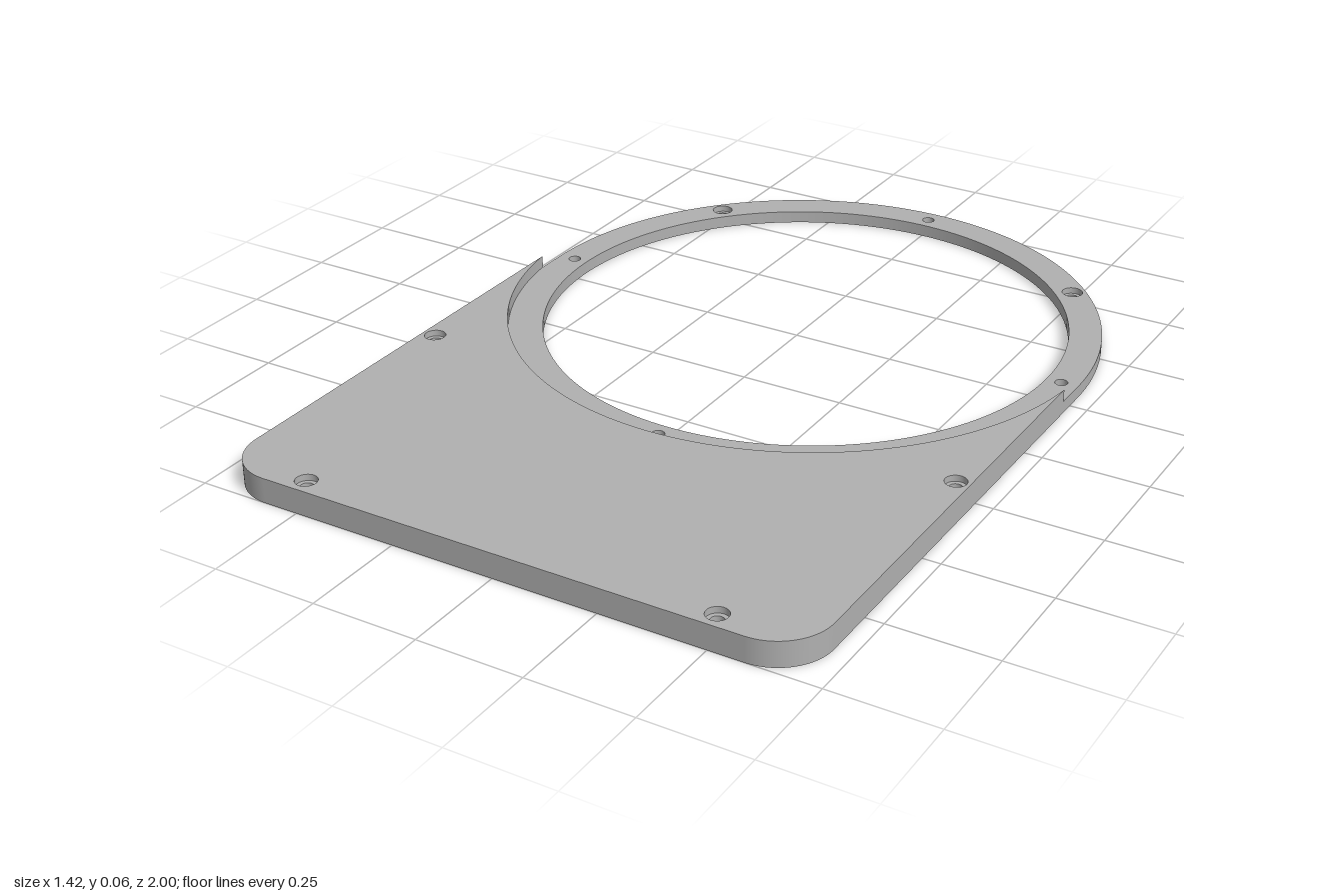
import * as THREE from 'three';

// Plan outlines use (x, -z); heights are given in y.
const HALF = 0.708, CY = 0.292, BORE = 0.63, CORNER = 0.125;
const LEDGE = 0.03, DECK = 0.06, END = 0.21;
const STEP_R = Math.hypot(HALF, CY - END), STEP_A = Math.atan2(CY - END, HALF);
const HOLE = 0.015, HEAD = 0.025, HEAD_DEPTH = 0.015;

const steel = new THREE.MeshStandardMaterial({ color: 0xb0b0b0 });
steel.name = 'grey metal';

function circle(x, y, r) {
  const p = new THREE.Path();
  p.absarc(x, y, r, 0, Math.PI * 2, true);
  return p;
}

// Left side, rounded front corners and right side, from y = top to y = top
function foot(top) {
  const s = new THREE.Shape(), c = HALF - CORNER, b = CORNER - 1;
  s.moveTo(-HALF, top);
  s.lineTo(-HALF, b);
  s.absarc(-c, b, CORNER, Math.PI, Math.PI * 1.5);
  s.lineTo(c, -1);
  s.absarc(c, b, CORNER, Math.PI * 1.5, Math.PI * 2);
  s.lineTo(HALF, top);
  return s;
}

// Flat face at height y, looking up or down
function face(shape, holes, y, down = false) {
  shape.holes = holes;
  const g = new THREE.ShapeGeometry(shape, 96);
  g.rotateX(down ? Math.PI / 2 : -Math.PI / 2);
  if (down) g.rotateY(Math.PI); // the outline is mirror-symmetric in x
  return g.translate(0, y, 0);
}

// Upright wall along a path, smooth within each curve and sharp between curves
function wall(path, y0, y1) {
  const pos = [], nor = [], idx = [];
  for (const curve of path.curves) {
    if (curve.getLength() < 1e-5) continue;
    const n = curve.isLineCurve ? 1 : 192;
    const base = pos.length / 3;
    for (let i = 0; i <= n; i++) {
      const p = curve.getPoint(i / n), t = curve.getTangent(i / n);
      for (const y of [y0, y1]) {
        pos.push(p.x, y, -p.y);
        nor.push(t.y, 0, t.x);
      }
      if (i < n) {
        const a = base + i * 2;
        idx.push(a, a + 2, a + 3, a, a + 3, a + 1);
      }
    }
  }
  const g = new THREE.BufferGeometry();
  g.setAttribute('position', new THREE.Float32BufferAttribute(pos, 3));
  g.setAttribute('normal', new THREE.Float32BufferAttribute(nor, 3));
  g.setIndex(idx);
  return g;
}

export function createModel() {
  const root = new THREE.Group();
  root.name = 'mountingPlate';
  const add = (name, geometry) => {
    const m = new THREE.Mesh(geometry, steel);
    m.name = name;
    root.add(m);
  };

  // Hole positions
  const plain = [[0, 0.96], [-0.667, CY], [0.667, CY]];
  const ringHeads = [[-0.5, 0.745], [0.5, 0.745]];
  const deckHeads = [[-0.675, -0.28], [0.675, -0.28], [-0.5, -0.96], [0.5, -0.96]];
  const blind = [0, -0.375];
  const cut = (list, r) => list.map(([x, y]) => circle(x, y, r));
  const bore = circle(0, CY, BORE);

  // Full outline: foot plus round back
  const outline = foot(CY);
  outline.absarc(0, CY, HALF, 0, Math.PI);
  add('rim', wall(outline, 0, LEDGE));
  add('underside', face(outline,
    [bore, ...cut([...plain, ...ringHeads, ...deckHeads], HOLE)], 0, true));
  add('bore', wall(bore, 0, LEDGE));

  // Recessed ring
  const ring = new THREE.Shape();
  ring.moveTo(HALF, END);
  ring.lineTo(HALF, CY);
  ring.absarc(0, CY, HALF, 0, Math.PI);
  ring.lineTo(-HALF, END);
  ring.absarc(0, CY, STEP_R, Math.PI + STEP_A, Math.PI * 2 - STEP_A);
  add('ringLedge', face(ring,
    [bore, ...cut([...plain, blind], HOLE), ...cut(ringHeads, HEAD)], LEDGE));

  // Raised deck with the curved step
  const deck = foot(END);
  deck.absarc(0, CY, STEP_R, -STEP_A, STEP_A - Math.PI, true);
  add('deckWall', wall(deck, LEDGE, DECK));
  add('deckTop', face(deck, cut(deckHeads, HEAD), DECK));

  // Plain through holes and the blind hole
  for (const [x, y] of plain) add('throughHole', wall(circle(x, y, HOLE), 0, LEDGE));
  add('blindHole', wall(circle(...blind, HOLE), 0.01, LEDGE));
  const disc = new THREE.Shape();
  disc.absarc(...blind, HOLE, 0, Math.PI * 2);
  add('blindHoleFloor', face(disc, [], 0.01));

  // Counterbored screw holes
  for (const [list, top] of [[ringHeads, LEDGE], [deckHeads, DECK]]) {
    for (const [x, y] of list) {
      const seat = new THREE.Shape(), floor = top - HEAD_DEPTH;
      seat.absarc(x, y, HEAD, 0, Math.PI * 2);
      add('screwHole', wall(circle(x, y, HOLE), 0, floor));
      add('screwSeat', face(seat, [circle(x, y, HOLE)], floor));
      add('counterbore', wall(circle(x, y, HEAD), floor, top));
    }
  }
  return root;
}
